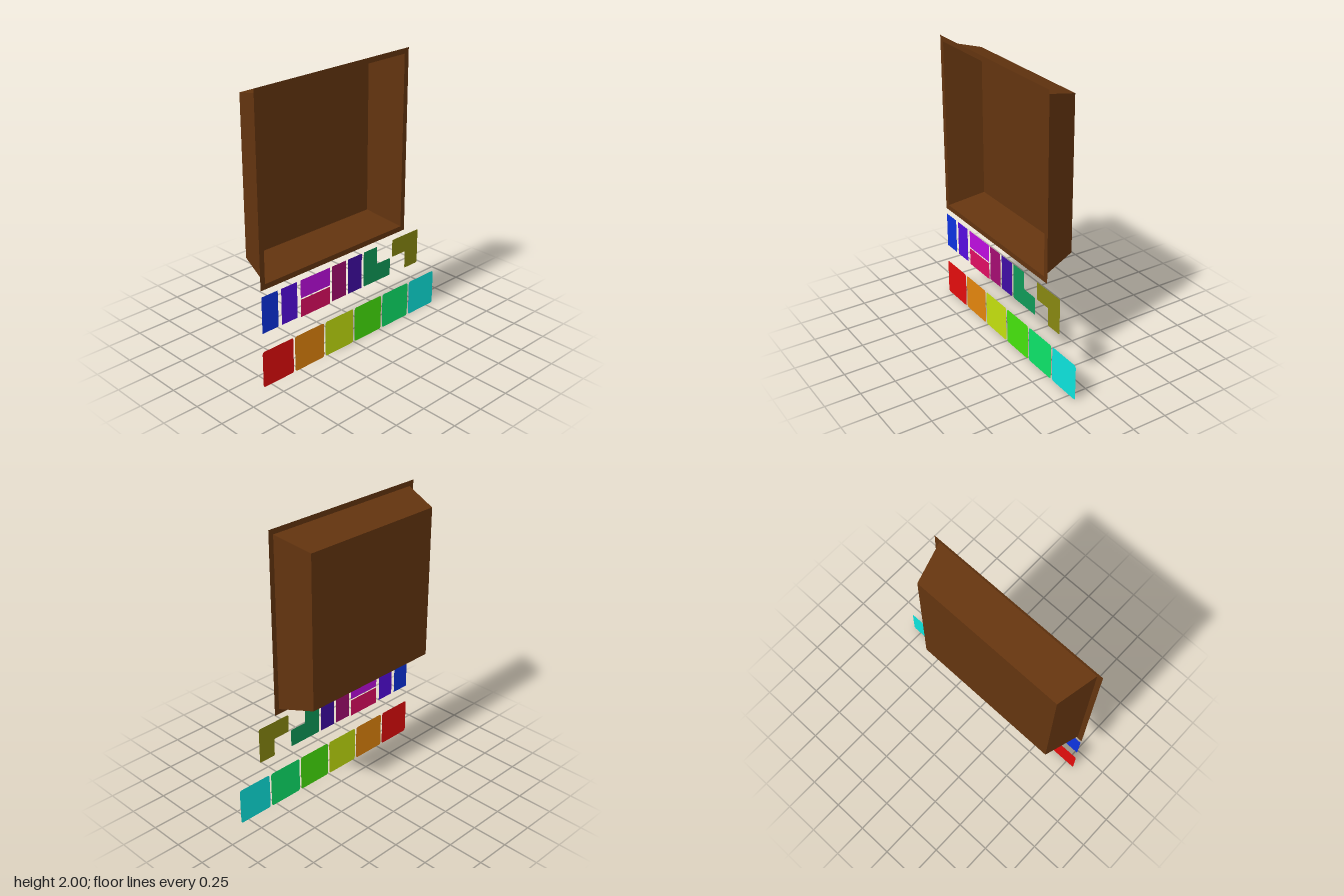
import * as THREE from 'three';

const FRONT = 0.13; // plane of the rim and all flat pieces

function material(color) {
  return new THREE.MeshStandardMaterial({ color, side: THREE.DoubleSide, flatShading: true });
}

// Outline through the given corners, each convex or concave corner eased by r
function easedShape(points, r) {
  const pts = points.map(([x, y]) => new THREE.Vector2(x, y));
  const shape = new THREE.Shape();
  pts.forEach((p, i) => {
    const prev = pts[(i + pts.length - 1) % pts.length];
    const next = pts[(i + 1) % pts.length];
    const a = p.clone().add(prev.clone().sub(p).setLength(r));
    const b = p.clone().add(next.clone().sub(p).setLength(r));
    if (i === 0) shape.moveTo(a.x, a.y);
    else shape.lineTo(a.x, a.y);
    shape.quadraticCurveTo(p.x, p.y, b.x, b.y);
  });
  shape.closePath();
  return shape;
}

const rect = (x0, y0, x1, y1) => [[x0, y0], [x1, y0], [x1, y1], [x0, y1]];

function flatPiece(name, points, r, color) {
  const mesh = new THREE.Mesh(new THREE.ShapeGeometry(easedShape(points, r), 4), material(color));
  mesh.name = name;
  mesh.position.z = FRONT;
  return mesh;
}

function createTray() {
  const tray = new THREE.Group();
  tray.name = 'tray';
  tray.position.set(-0.164, 1.35, 0);
  const brown = material(0x63340f);
  const outer = 0.65, mouth = 0.613, back = 0.547;
  const add = (name, geometry, z) => {
    const mesh = new THREE.Mesh(geometry, brown);
    mesh.name = name;
    mesh.position.z = z;
    tray.add(mesh);
  };

  // Flat rim around the opening
  const rim = new THREE.Shape(rect(-outer, -outer, outer, outer).map(p => new THREE.Vector2(...p)));
  rim.holes.push(new THREE.Path(rect(-mouth, -mouth, mouth, mouth).map(p => new THREE.Vector2(...p))));
  add('rim', new THREE.ShapeGeometry(rim), FRONT);

  // Four walls tapering towards the back
  const walls = new THREE.CylinderGeometry(mouth * Math.SQRT2, back * Math.SQRT2, FRONT * 2, 4, 1, true);
  walls.rotateY(Math.PI / 4).rotateX(Math.PI / 2);
  add('taperedWalls', walls, 0);

  add('backPanel', new THREE.PlaneGeometry(back * 2, back * 2), -FRONT);
  return tray;
}

export function createModel() {
  const model = new THREE.Group();
  model.name = 'trayAndTiles';
  model.add(createTray());

  // Bottom row of rounded square tiles
  [0xe30d0d, 0xe3850d, 0xc4e00e, 0x46e30d, 0x0de369, 0x0de3dc].forEach((color, i) => {
    const x = -0.815 + i * 0.2738;
    model.add(flatPiece(`squareTile${i + 1}`, rect(x, 0, x + 0.26, 0.262), 0.018, color));
  });

  // Half tiles: x0, y0, x1, y1, colour
  [
    [-0.81, 0.396, -0.676, 0.656, 0x0d33e0],
    [-0.648, 0.396, -0.514, 0.656, 0x560de0],
    [-0.484, 0.525, -0.224, 0.656, 0xbe0de0],
    [-0.484, 0.388, -0.224, 0.515, 0xe00d63],
    [-0.207, 0.397, -0.077, 0.656, 0xa50d72],
    [-0.058, 0.397, 0.071, 0.656, 0x400da5],
  ].forEach(([x0, y0, x1, y1, color], i) => {
    model.add(flatPiece(`halfTile${i + 1}`, rect(x0, y0, x1, y1), 0.003, color));
  });

  // L-shaped tiles, the second being the first turned half round
  const ell = [[-0.13, -0.13], [0.13, -0.13], [0.13, 0], [0, 0], [0, 0.13], [-0.13, 0.13]];
  const place = (x, y, s) => ell.map(([px, py]) => [x + s * px, y + s * py]);
  model.add(flatPiece('cornerTile1', place(0.22, 0.527, 1), 0.012, 0x0f9a58));
  model.add(flatPiece('cornerTile2', place(0.5, 0.527, -1), 0.012, 0x888810));
  return model;
}
